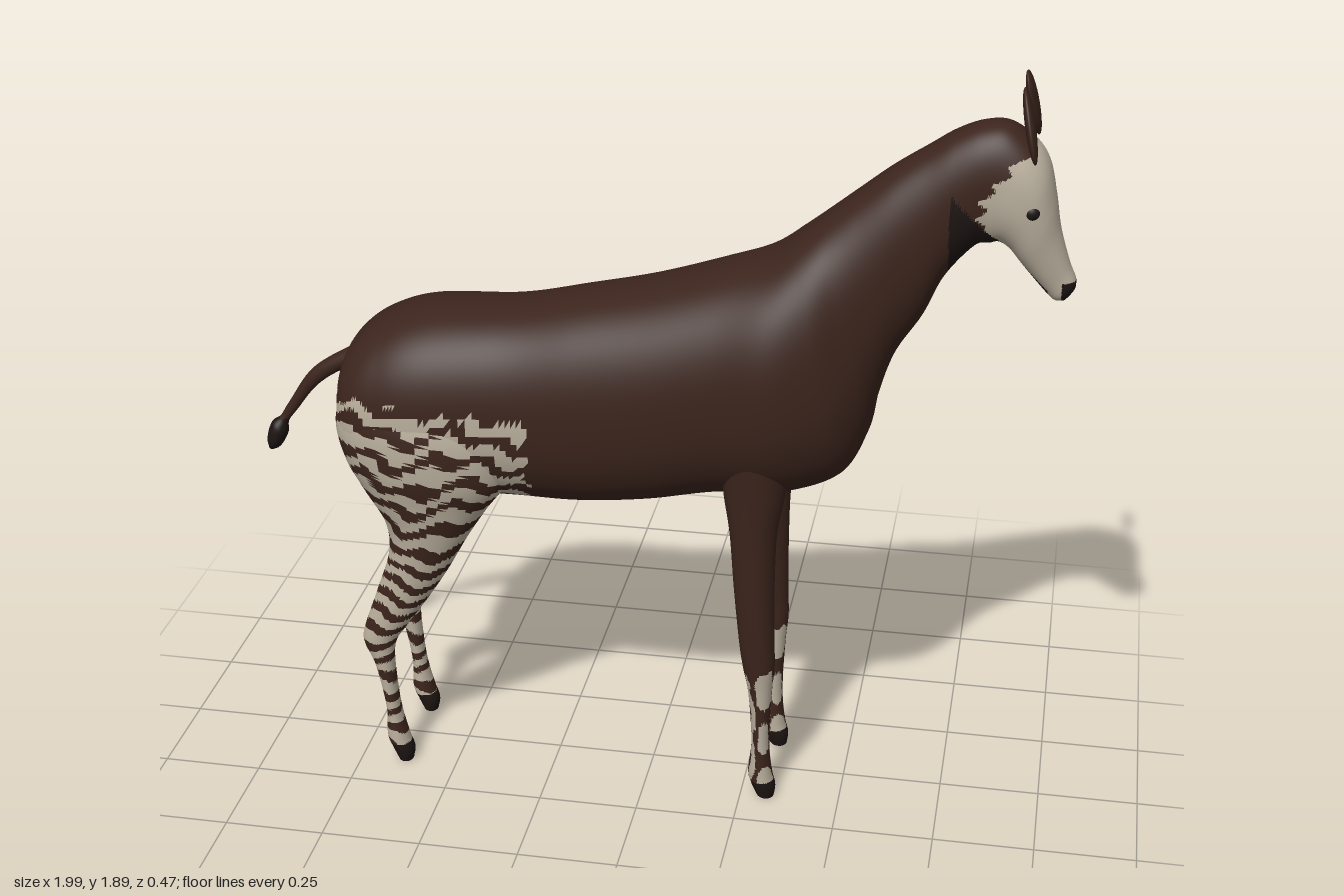
import * as THREE from 'three';

const material = (color) => new THREE.MeshStandardMaterial({ color, roughness: 0.85 });
const MATERIALS = {
  brown: material(0x3b241c),
  cream: material(0xb8ae9c),
  dark: material(0x1c1412),
};

// Smooth loft through oval sections. Each row: [xA, yA, xB, yB, halfWidth, zCentre],
// where A and B are the two ends of the section's axis in the side plane.
function loft(rows, steps, sides, power = 2) {
  const curve = (pick) => new THREE.CatmullRomCurve3(rows.map(pick), false, 'catmullrom', 0.5);
  const curveA = curve((r) => new THREE.Vector3(r[0], r[1], r[4]));
  const curveB = curve((r) => new THREE.Vector3(r[2], r[3], r[5] || 0));
  const count = (rows.length - 1) * steps;
  const bulge = (v) => Math.sign(v) * Math.abs(v) ** (2 / power);
  const positions = [], index = [], centres = [];
  for (let i = 0; i <= count; i++) {
    const a = curveA.getPoint(i / count), b = curveB.getPoint(i / count);
    const cx = (a.x + b.x) / 2, cy = (a.y + b.y) / 2;
    centres.push([cx, cy, b.z]);
    for (let j = 0; j < sides; j++) {
      const t = (j / sides) * Math.PI * 2, c = bulge(Math.cos(t)), s = bulge(Math.sin(t));
      positions.push(cx + c * (a.x - cx), cy + c * (a.y - cy), b.z + a.z * s);
      if (i === count) continue;
      const p = i * sides + j, q = i * sides + ((j + 1) % sides);
      index.push(p, q, p + sides, q, q + sides, p + sides);
    }
  }
  // End caps
  const first = positions.length / 3, last = first + 1, end = count * sides;
  positions.push(...centres[0], ...centres[count]);
  for (let j = 0; j < sides; j++) {
    const k = (j + 1) % sides;
    index.push(first, k, j, last, end + j, end + k);
  }
  const geometry = new THREE.BufferGeometry();
  geometry.setAttribute('position', new THREE.Float32BufferAttribute(positions, 3));
  geometry.setIndex(index);
  geometry.computeVertexNormals();
  return geometry;
}

// Splits a surface into one mesh per coat colour; the rule maps a face centre to a colour name.
function painted(name, geometry, rule) {
  const group = new THREE.Group();
  group.name = name;
  const p = geometry.attributes.position, ix = geometry.index.array, faces = {};
  for (let f = 0; f < ix.length; f += 3) {
    const [a, b, c] = [ix[f], ix[f + 1], ix[f + 2]];
    const key = rule((p.getX(a) + p.getX(b) + p.getX(c)) / 3,
      (p.getY(a) + p.getY(b) + p.getY(c)) / 3, (p.getZ(a) + p.getZ(b) + p.getZ(c)) / 3);
    (faces[key] ||= []).push(a, b, c);
  }
  for (const key in faces) {
    const part = geometry.clone();
    part.setIndex(faces[key]);
    const mesh = new THREE.Mesh(part.toNonIndexed(), MATERIALS[key]);
    mesh.name = `${name} ${key}`;
    group.add(mesh);
  }
  return group;
}

// Coat patterns
const stripes = (x, y, z, f) =>
  Math.sin(y * f + 1.6 * Math.sin(x * 24 + z * 14) + 1.3 * Math.sin(x * 47 - y * 31 + 1)) > -0.1;

function haunch(x, y, z) {
  const edge = 0.012 * Math.sin(y * 70) - 0.28;
  const top = 1.045 + 0.012 * Math.sin(x * 60 + z * 30);
  return x < edge && y < top && y > 0.785 && stripes(x, y, z, 88);
}

function bodyCoat(x, y, z) {
  if (x < 0.7) return haunch(x, y, z) ? 'cream' : 'brown';
  if (x > 0.962 && y < 1.418) return 'dark';
  if (y < 1.528 - 1.03 * (x - 0.8) && x < 0.93) return 'dark';
  const jag = 0.012 * Math.sin(y * 150) + 0.006 * Math.sin(z * 140);
  const edge = 0.77 + Math.max(0, y - 1.63) * 0.9 + Math.max(0, 1.57 - y) * 0.5;
  return x > edge + jag ? 'cream' : 'brown';
}

function hindCoat(x, y, z) {
  if (y < 0.055) return 'dark';
  if (y > 0.8) return haunch(x, y, z) ? 'cream' : 'brown';
  return stripes(x, y, z, y > 0.6 ? 95 : 125) ? 'cream' : 'brown';
}

function foreCoat(x, y, z) {
  if (y < 0.05) return 'dark';
  const top = 0.36 + 0.02 * Math.sin(z * 190 + x * 90);
  const streak = Math.sin(x * 130 + z * 150 + 1.2 * Math.sin(y * 45)) + 0.4 * Math.sin(y * 95);
  return y < top && streak > -0.3 ? 'cream' : 'brown';
}

// Sections: upper edge, lower edge, half width (rump to muzzle)
const BODY = [
  [-0.776, 1.04, -0.776, 0.96, 0.06], [-0.765, 1.11, -0.765, 0.87, 0.14],
  [-0.73, 1.165, -0.73, 0.81, 0.185], [-0.66, 1.215, -0.66, 0.775, 0.21],
  [-0.55, 1.25, -0.55, 0.765, 0.222], [-0.34, 1.268, -0.34, 0.765, 0.208],
  [-0.17, 1.305, -0.17, 0.765, 0.214], [0, 1.345, 0, 0.785, 0.22],
  [0.17, 1.4, 0.17, 0.82, 0.223], [0.28, 1.44, 0.33, 0.835, 0.235],
  [0.36, 1.5, 0.47, 0.89, 0.205], [0.42, 1.55, 0.53, 1.0, 0.165],
  [0.48, 1.6, 0.55, 1.1, 0.14], [0.56, 1.665, 0.585, 1.21, 0.122],
  [0.64, 1.72, 0.645, 1.31, 0.108], [0.7, 1.76, 0.69, 1.41, 0.099],
  [0.76, 1.785, 0.755, 1.49, 0.094], [0.82, 1.788, 0.79, 1.5, 0.092],
  [0.88, 1.75, 0.81, 1.505, 0.092], [0.915, 1.7, 0.835, 1.49, 0.088],
  [0.935, 1.62, 0.86, 1.46, 0.078], [0.95, 1.54, 0.89, 1.425, 0.062],
  [0.975, 1.46, 0.925, 1.385, 0.044], [0.992, 1.42, 0.945, 1.367, 0.036],
  [0.993, 1.4, 0.965, 1.365, 0.022],
];

// Sections: front edge, back edge, half width, distance from the middle
const HIND_LEG = [
  [-0.35, 1.08, -0.74, 1.08, 0.09, 0.11], [-0.32, 0.95, -0.772, 0.98, 0.105, 0.122],
  [-0.34, 0.84, -0.755, 0.88, 0.1, 0.125], [-0.4, 0.75, -0.71, 0.79, 0.085, 0.122],
  [-0.45, 0.67, -0.66, 0.7, 0.07, 0.12], [-0.505, 0.57, -0.655, 0.61, 0.055, 0.12],
  [-0.555, 0.49, -0.69, 0.5, 0.047, 0.12], [-0.62, 0.395, -0.728, 0.39, 0.04, 0.122],
  [-0.648, 0.35, -0.732, 0.345, 0.037, 0.123], [-0.655, 0.29, -0.705, 0.28, 0.031, 0.125],
  [-0.645, 0.16, -0.682, 0.16, 0.028, 0.125], [-0.625, 0.07, -0.682, 0.075, 0.034, 0.125],
  [-0.613, 0.03, -0.67, 0.04, 0.034, 0.125], [-0.617, 0, -0.655, 0.005, 0.027, 0.125],
];
const FORE_LEG = [
  [0.36, 1.0, 0.18, 1.0, 0.08, 0.125], [0.345, 0.86, 0.195, 0.86, 0.066, 0.128],
  [0.328, 0.75, 0.212, 0.75, 0.058, 0.13], [0.325, 0.6, 0.225, 0.6, 0.05, 0.133],
  [0.328, 0.45, 0.24, 0.45, 0.043, 0.132], [0.33, 0.38, 0.25, 0.38, 0.04, 0.13],
  [0.324, 0.3, 0.265, 0.3, 0.034, 0.127], [0.32, 0.16, 0.275, 0.16, 0.03, 0.125],
  [0.329, 0.07, 0.268, 0.075, 0.034, 0.125], [0.338, 0.03, 0.275, 0.04, 0.034, 0.125],
  [0.335, 0, 0.29, 0.005, 0.027, 0.125],
];
// Sections: lower edge, upper edge, half width
const TAIL = [
  [-0.66, 1.08, -0.64, 1.18, 0.035], [-0.77, 1.055, -0.75, 1.12, 0.027],
  [-0.855, 1.0, -0.865, 1.045, 0.018], [-0.915, 0.925, -0.935, 0.945, 0.012],
  [-0.94, 0.89, -0.96, 0.905, 0.012], [-0.945, 0.855, -0.985, 0.885, 0.026],
  [-0.965, 0.82, -0.998, 0.845, 0.026], [-0.985, 0.808, -0.997, 0.815, 0.01],
];

export function createModel() {
  const model = new THREE.Group();
  model.name = 'striped hoofed animal';
  model.add(painted('body', loft(BODY, 13, 96, 2.3), bodyCoat));
  model.add(painted('tail', loft(TAIL, 8, 20), (x, y) => (y < 0.9 && x < -0.935 ? 'dark' : 'brown')));

  const ball = new THREE.SphereGeometry(1, 24, 16);
  const earAxis = new THREE.Vector3();
  for (const [label, side] of [['left', -1], ['right', 1]]) {
    const mirrored = (rows) => rows.map((r) => [...r.slice(0, 5), r[5] * side]);
    model.add(painted(`${label} hind leg`, loft(mirrored(HIND_LEG), 12, 40), hindCoat));
    model.add(painted(`${label} fore leg`, loft(mirrored(FORE_LEG), 12, 40), foreCoat));

    const ear = new THREE.Mesh(ball, MATERIALS.brown);
    ear.name = `${label} ear`;
    ear.position.set(0.866, 1.808, side * 0.088);
    ear.scale.set(0.012, 0.088, 0.043);
    earAxis.set(-0.035, 0.16, -side * 0.06).normalize();
    ear.quaternion.setFromUnitVectors(THREE.Object3D.DEFAULT_UP, earAxis);
    model.add(ear);

    const eye = new THREE.Mesh(ball, MATERIALS.dark);
    eye.name = `${label} eye`;
    eye.position.set(0.882, 1.6, side * 0.071);
    eye.scale.setScalar(0.021);
    model.add(eye);
  }
  return model;
}
